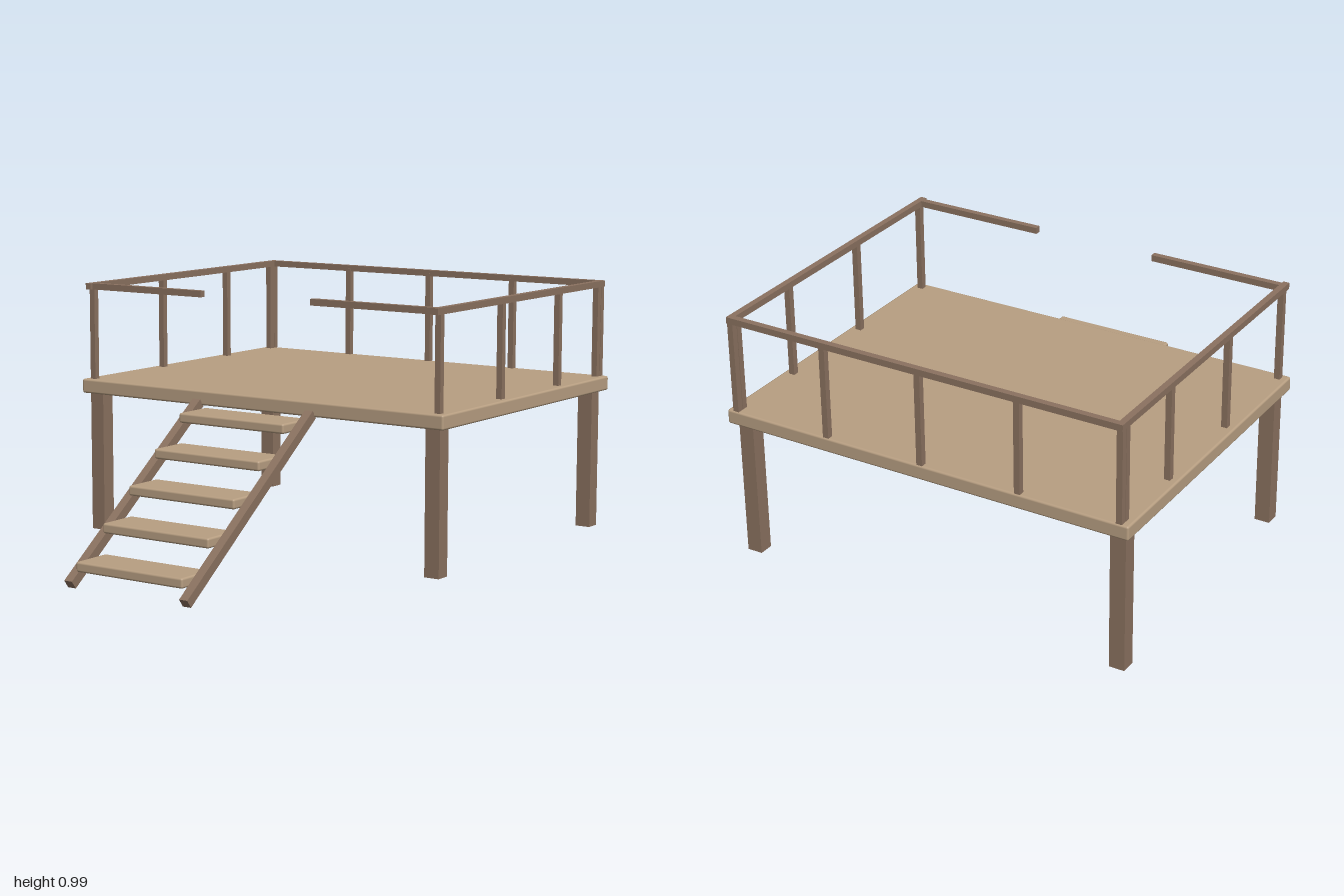
import * as THREE from 'three';
import { RoundedBoxGeometry } from 'three/addons/geometries/RoundedBoxGeometry.js';

export function createModel() {
  const group = new THREE.Group();
  const plankWood = new THREE.MeshStandardMaterial({ color: 0xb89f82 });
  plankWood.name = 'plankWood';
  const beamWood = new THREE.MeshStandardMaterial({ color: 0x8b7260 });
  beamWood.name = 'beamWood';

  const add = (name, geometry, material, x, y, z) => {
    const mesh = new THREE.Mesh(geometry, material);
    mesh.name = name;
    mesh.position.set(x, y, z);
    group.add(mesh);
    return mesh;
  };
  const plank = (name, w, h, d, x, y, z) =>
    add(name, new RoundedBoxGeometry(w, h, d, 2, 0.008), plankWood, x, y, z);
  const beam = (name, w, h, d, x, y, z) =>
    add(name, new THREE.BoxGeometry(w, h, d), beamWood, x, y, z);

  const deckTop = 0.615, deckBottom = 0.56;
  const railY = 0.975, railSize = 0.024, railX = 0.778;
  const postHeight = railY - deckTop;
  const post = (x, z) =>
    beam('railPost', 0.023, postHeight, 0.023, x, deckTop + postHeight / 2, z);

  // Platform
  plank('deck', 1.63, deckTop - deckBottom, 1.24, 0, (deckTop + deckBottom) / 2, -0.378);

  // Back railing
  beam('backRail', 1.58, railSize, railSize, 0, railY, -0.987);
  for (let i = -2; i <= 2; i++) post(i * 0.389, -0.984);

  for (const side of [-1, 1]) {
    // Legs
    for (const z of [0.191, -0.938]) {
      beam('leg', 0.06, deckBottom - 0.025, 0.057, side * 0.76, (deckBottom + 0.025) / 2, z);
    }
    // Side railing
    beam('sideRail', railSize, railSize, 1.24, side * railX, railY, -0.377);
    for (const z of [0.209, -0.22, -0.648, -0.958]) post(side * railX, z);

    // Short front rail, leaving the stair opening clear
    beam('frontRail', 0.543, railSize, railSize, side * 0.518, railY, 0.219);

    // Sloping stair stringer
    const top = new THREE.Vector2(0.24, 0.57), foot = new THREE.Vector2(0.989, 0.014);
    const run = foot.x - top.x, drop = top.y - foot.y;
    const stringer = beam('stringer', 0.035, 0.035, Math.hypot(run, drop),
      side * 0.2545, (top.y + foot.y) / 2, (top.x + foot.x) / 2);
    stringer.rotation.x = Math.atan2(drop, run);
  }

  // Stair treads
  for (let i = 0; i < 5; i++) {
    plank('stairTread', 0.47, 0.037, 0.163, 0, 0.078 + i * 0.1133, 0.898 - i * 0.149);
  }

  return group;
}
